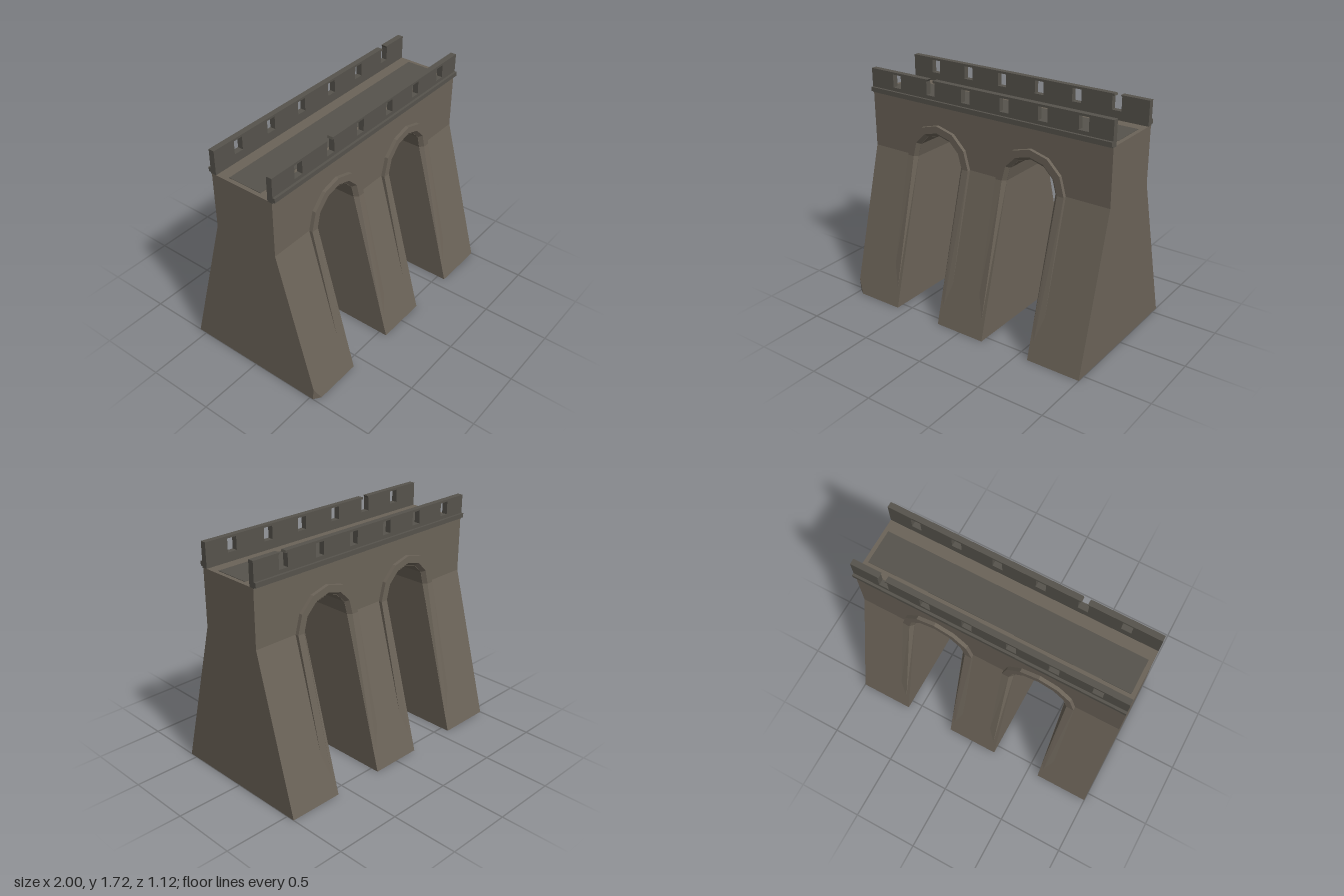
import * as THREE from 'three';
import { ConvexGeometry } from 'three/addons/geometries/ConvexGeometry.js';

const stone = new THREE.MeshStandardMaterial({ color: 0x6b6358, flatShading: true });
const trimStone = new THREE.MeshStandardMaterial({ color: 0x6b6358, flatShading: true, side: THREE.DoubleSide });
const darkStone = new THREE.MeshStandardMaterial({ color: 0x56534c, flatShading: true });

const SPRING = 1.13, DECK = 1.547, TOP = 1.724;
const WALL_Z = 0.25, FOOT_Z = 0.562;
const ARCH_X = 0.394, ARCH_R = 0.195, ARCH_SEGS = 6;

// half depth of the structure at a given height
const wallZ = (y) => (y >= SPRING ? WALL_Z : FOOT_Z + (WALL_Z - FOOT_Z) * (y / SPRING));

function add(parent, name, geometry, material) {
  const mesh = new THREE.Mesh(geometry, material);
  mesh.name = name;
  parent.add(mesh);
  return mesh;
}

function box(parent, name, size, pos, material) {
  return add(parent, name, new THREE.BoxGeometry(...size), material).position.set(...pos);
}

// tapering pier; a chipped one loses its front outer foot corner
function pierGeometry(x0, x1, chipped) {
  const pts = [];
  for (const x of [x0, x1]) for (const s of [-1, 1]) {
    pts.push(new THREE.Vector3(x, SPRING, s * WALL_Z));
    if (chipped && x === x0 && s === 1) {
      pts.push(new THREE.Vector3(x + 0.05, 0, FOOT_Z), new THREE.Vector3(x, 0, FOOT_Z - 0.035),
        new THREE.Vector3(x, 0.1, wallZ(0.1)));
    } else pts.push(new THREE.Vector3(x, 0, s * FOOT_Z));
  }
  return new ConvexGeometry(pts);
}

// upper wall with two arched cuts in its lower edge
function upperWallGeometry() {
  const shape = new THREE.Shape();
  shape.moveTo(-1, SPRING);
  for (const cx of [-ARCH_X, ARCH_X]) {
    for (let i = 0; i <= ARCH_SEGS; i++) {
      const a = Math.PI * (1 - i / ARCH_SEGS);
      shape.lineTo(cx + ARCH_R * Math.cos(a), SPRING + ARCH_R * Math.sin(a));
    }
  }
  shape.lineTo(1, SPRING);
  shape.lineTo(1, DECK);
  shape.lineTo(-1, DECK);
  shape.closePath();
  return new THREE.ExtrudeGeometry(shape, { depth: 2 * WALL_Z, bevelEnabled: false }).translate(0, 0, -WALL_Z);
}

// bevelled arch moulding whose legs die into the sloping pier faces
function archTrimGeometry() {
  // radius, projection, height where the leg ends
  const section = [[ARCH_R, -0.002, 0.14], [0.222, 0.027, 0.145], [0.275, 0.027, 0.32], [0.275, -0.01, 0.32]];
  const pos = [], index = [], rows = ARCH_SEGS + 3, n = section.length;
  for (let i = 0; i < rows; i++) {
    const leg = i === 0 || i === rows - 1;
    const a = Math.PI * (1 - THREE.MathUtils.clamp((i - 1) / ARCH_SEGS, 0, 1));
    for (const [r, out, foot] of section) {
      const y = leg ? foot : SPRING + r * Math.sin(a);
      pos.push(r * Math.cos(a), y, wallZ(y) + (leg ? Math.min(out, 0) : out));
    }
  }
  for (let i = 0; i < rows - 1; i++) for (let j = 0; j < n - 1; j++) {
    const p = i * n + j, q = p + n;
    index.push(p, q, p + 1, p + 1, q, q + 1);
  }
  const g = new THREE.BufferGeometry();
  g.setAttribute('position', new THREE.Float32BufferAttribute(pos, 3));
  g.setIndex(index);
  g.computeVertexNormals();
  return g;
}

// parapet with square openings, one of them broken through at the top
function parapetGeometry(brokenIndex) {
  const starts = [-0.797, -0.487, -0.18, 0.14, 0.445, 0.752];
  const w = 0.073, y0 = 1.612, y1 = 1.708;
  const shape = new THREE.Shape();
  shape.moveTo(-1, DECK - 0.004);
  shape.lineTo(1, DECK - 0.004);
  shape.lineTo(1, TOP);
  const b = starts[brokenIndex];
  shape.lineTo(b + 0.06, TOP);
  shape.lineTo(b + 0.055, y1);
  shape.lineTo(b + w, y1);
  shape.lineTo(b + w, y0);
  shape.lineTo(b, y0);
  shape.lineTo(b, y1);
  shape.lineTo(b + 0.01, TOP);
  shape.lineTo(-1, TOP);
  shape.closePath();
  starts.forEach((x, i) => {
    if (i === brokenIndex) return;
    const hole = new THREE.Path();
    hole.moveTo(x, y0);
    hole.lineTo(x, y1);
    hole.lineTo(x + w, y1);
    hole.lineTo(x + w, y0);
    hole.closePath();
    shape.holes.push(hole);
  });
  return new THREE.ExtrudeGeometry(shape, { depth: 0.043, bevelEnabled: false }).translate(0, 0, 0.214);
}

export function createModel() {
  const model = new THREE.Group();
  model.name = 'archedBridge';

  // supports and wall
  const inner = ARCH_X - ARCH_R, outer = ARCH_X + ARCH_R;
  add(model, 'rightPier', pierGeometry(-1, -outer, true), stone);
  add(model, 'middlePier', pierGeometry(-inner, inner, false), stone);
  add(model, 'leftPier', pierGeometry(outer, 1, false), stone);
  add(model, 'upperWall', upperWallGeometry(), stone);
  box(model, 'roadSlab', [1.94, 0.006, 0.26], [0, DECK, 0], darkStone);

  // each side repeats the other, turned half round
  const trim = archTrimGeometry();
  ['front', 'back'].forEach((label, k) => {
    const side = new THREE.Group();
    side.name = label + 'Side';
    side.rotation.y = k * Math.PI;
    for (const cx of [-ARCH_X, ARCH_X]) add(side, 'archTrim', trim, trimStone).position.x = cx;
    add(side, 'parapet', parapetGeometry(k === 0 ? 1 : 0), darkStone);
    box(side, 'ledge', [2, 0.032, 0.035], [0, 1.57, 0.2575], darkStone);
    model.add(side);
  });
  return model;
}
